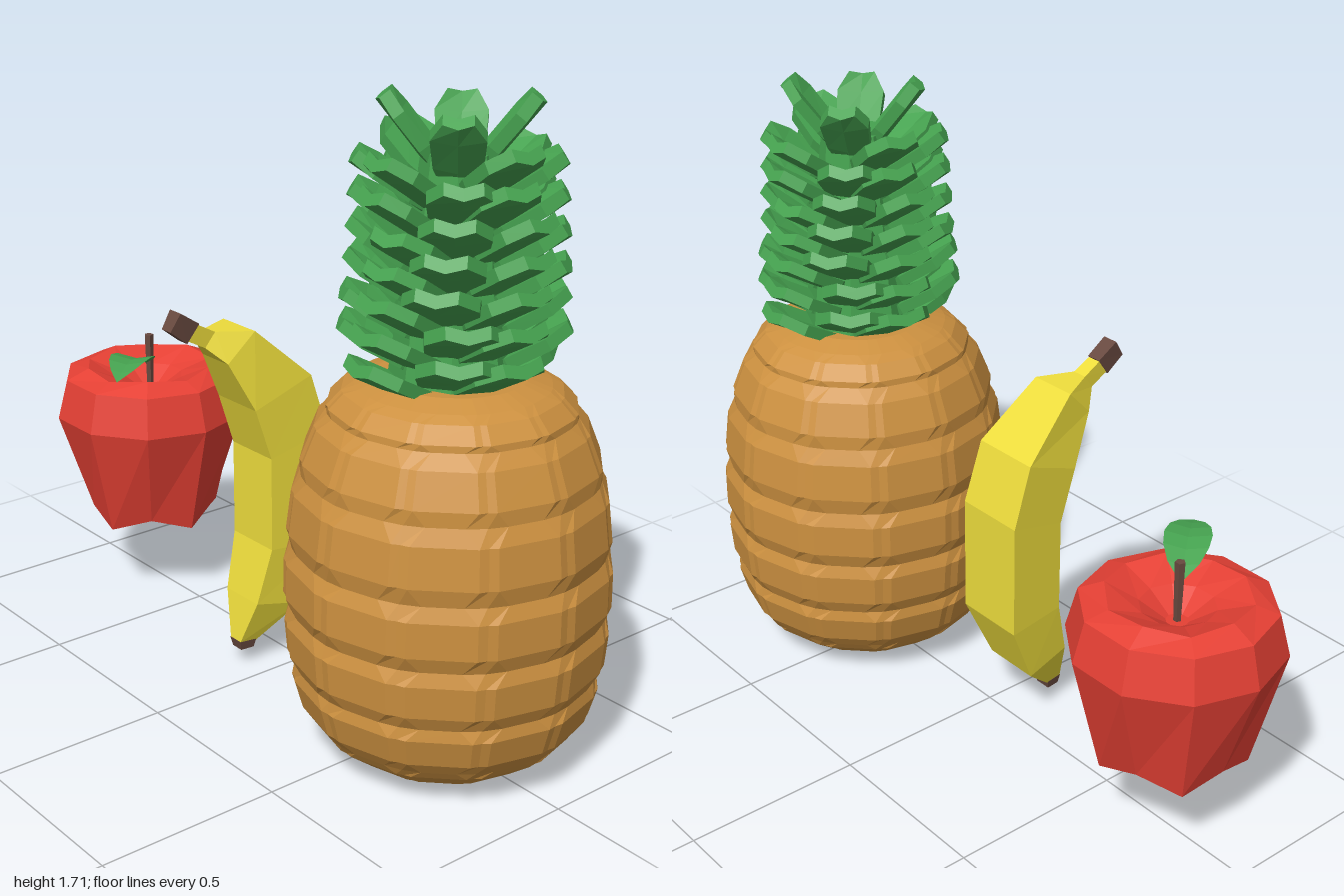
import * as THREE from 'three';

const V = (x, y, z) => new THREE.Vector3(x, y, z);
const mat = (color, extra = {}) => new THREE.MeshStandardMaterial({ color, flatShading: true, ...extra });
const GREEN = mat(0x46a350), RED = mat(0xe54034), YELLOW = mat(0xeedd3c), BROWN = mat(0x68493f), TAN = mat(0xcd9140);
const LEAF = mat(0x46a350, { side: THREE.DoubleSide });

// Skin through closed rings; points run counter-clockwise seen from the last ring
function loft(rings) {
  const pos = [];
  const tri = (...pts) => pts.forEach(p => pos.push(p.x, p.y, p.z));
  const n = rings[0].length;
  for (let i = 0; i < rings.length - 1; i++) for (let j = 0; j < n; j++) {
    const k = (j + 1) % n, a = rings[i], b = rings[i + 1];
    tri(a[j], a[k], b[k]);
    tri(a[j], b[k], b[j]);
  }
  const cap = (ring, flip) => {
    const c = ring.reduce((s, p) => s.add(p), V(0, 0, 0)).divideScalar(n);
    ring.forEach((p, j) => {
      const q = ring[(j + 1) % n];
      flip ? tri(c, q, p) : tri(c, p, q);
    });
  };
  cap(rings[0], true);
  cap(rings[rings.length - 1], false);
  const g = new THREE.BufferGeometry();
  g.setAttribute('position', new THREE.Float32BufferAttribute(pos, 3));
  g.computeVertexNormals();
  return g;
}

function add(parent, name, geometry, material) {
  const m = new THREE.Mesh(geometry, material);
  m.name = name;
  parent.add(m);
  return m;
}

// Pineapple body: rows of raised octagonal panels with grooves between them
function pineappleBody() {
  const rows = [[0, 0.21], [0.11, 0.355], [0.25, 0.395], [0.41, 0.409], [0.58, 0.407], [0.77, 0.383], [0.93, 0.318], [1.0, 0.25]];
  const cells = 12, step = Math.PI * 2 / cells;
  const ring = (y, R, u) => {
    const pts = [];
    for (let c = 0; c < cells; c++) for (const f of [0, u, 1 - u]) {
      const r = f === 0 ? R * 0.978 : R * Math.cos(step / 2) / Math.cos((f - 0.5) * step);
      const a = (c + f) * step;
      pts.push(V(Math.sin(a) * r, y, Math.cos(a) * r));
    }
    return pts;
  };
  const rings = [];
  for (let i = 0; i < rows.length - 1; i++) {
    const [y0, r0] = rows[i], [y1, r1] = rows[i + 1];
    rings.push(ring(y0, r0, 0.26));
    for (const t of [0.24, 0.78]) rings.push(ring(y0 + (y1 - y0) * t, r0 + (r1 - r0) * t + 0.014, 0.11));
  }
  rings.push(ring(1.0, 0.25, 0.26), ring(1.02, 0.19, 0.26));
  return loft(rings);
}

// Thick blunt crown leaf running along +z with a shallow centre crease
function crownLeaf(length, width) {
  const t = 0.016, d = 0.014;
  const sections = [[0, 0.3], [0.45, 0.9], [0.8, 1], [1, 0.55]];
  return loft(sections.map(([s, f]) => {
    const w = f * width / 2, z = s * length;
    return [V(-w, -t, z), V(0, -t - d, z), V(w, -t, z), V(w, t, z), V(0, t - d, z), V(-w, t, z)];
  }));
}

function pineapple() {
  const g = new THREE.Group();
  g.name = 'pineapple';
  add(g, 'pineappleBody', pineappleBody(), TAN);
  const crown = new THREE.Group();
  crown.name = 'crown';
  g.add(crown);
  add(crown, 'crownCore', new THREE.CylinderGeometry(0.09, 0.16, 0.56, 8).translate(0, 1.29, 0), GREEN);
  // four leaves per layer, each layer turned against the one below
  const layer = (tipY, tipR, tilt, width, turn) => {
    const geo = crownLeaf(tipR / Math.cos(tilt), width);
    for (let k = 0; k < 4; k++) {
      const leaf = add(crown, 'crownLeaf', geo, GREEN);
      leaf.rotation.set(-tilt, turn + k * Math.PI / 2, 0, 'YXZ');
      leaf.position.y = tipY - Math.tan(tilt) * tipR + (k % 2 ? 0.015 : -0.015);
    }
  };
  const layers = 13;
  for (let i = 0; i < layers; i++) {
    const s = i / (layers - 1);
    layer(1.1 + s * 0.49, 0.275 - s * 0.035, 0.5 + s * 0.1, 0.2 - s * 0.04, (i % 2) * Math.PI / 4 + ((i * 3) % 5 - 2) * 0.07);
  }
  layer(1.69, 0.175, 0.9, 0.13, Math.PI / 4);
  g.position.x = 0.585;
  return g;
}

// Banana: four-sided sections given by outer edge, inner edge and half width
function banana() {
  const g = new THREE.Group();
  g.name = 'banana';
  const section = ([oz, oy, iz, iy, w]) => [
    V(-w * 0.82, iy, iz), V(w * 0.82, iy, iz), V(w, oy, oz), V(-w, oy, oz)];
  const body = [
    [0.115, 0.065, 0.165, 0.07, 0.027], [0.0, 0.17, 0.14, 0.2, 0.085], [-0.08, 0.35, 0.1, 0.36, 0.105],
    [-0.08, 0.68, 0.1, 0.63, 0.105], [-0.025, 0.85, 0.15, 0.78, 0.102], [0.14, 1.0, 0.22, 0.92, 0.07],
    [0.235, 1.005, 0.265, 0.965, 0.022], [0.29, 1.035, 0.32, 0.995, 0.02]];
  const tip = [[0.12, 0.045, 0.16, 0.045, 0.024], [0.114, 0.07, 0.166, 0.072, 0.029]];
  const stem = [[0.285, 1.037, 0.322, 0.988, 0.022], [0.345, 1.077, 0.375, 1.03, 0.024]];
  add(g, 'bananaPeel', loft(body.map(section)), YELLOW);
  add(g, 'bananaTip', loft(tip.map(section)), BROWN);
  add(g, 'bananaStem', loft(stem.map(section)), BROWN);
  g.position.x = -0.095;
  return g;
}

// Apple: ten-sided, with five lobes underneath and a dip around the stem
function apple() {
  const g = new THREE.Group();
  g.name = 'apple';
  // radius, height, lobe amount
  const profile = [[0.05, 0.31, 0], [0.13, 0.25, 0.02], [0.195, 0.245, 0.018], [0.285, 0.56, 0], [0.255, 0.675, 0],
    [0.19, 0.7, 0.005], [0.1, 0.665, 0], [0.03, 0.62, 0]];
  add(g, 'appleBody', loft(profile.map(([r, y, lobe]) => Array.from({ length: 10 }, (_, j) => {
    const a = Math.PI / 2 + j * Math.PI / 5, s = j % 2 ? 1 : -1;
    return V(Math.sin(a) * (r - s * lobe * 0.4), y + s * lobe, Math.cos(a) * (r - s * lobe * 0.4));
  }))), RED);
  add(g, 'appleStem', new THREE.CylinderGeometry(0.014, 0.01, 0.17, 5).translate(0, 0.705, 0), BROWN);

  // arched pointed leaf along +z, folded at the midrib
  const leaf = new THREE.PlaneGeometry(1, 1, 2, 6);
  const p = leaf.attributes.position;
  for (let i = 0; i < p.count; i++) {
    const s = p.getY(i) + 0.5, side = p.getX(i) * 2;
    const w = 0.062 * Math.pow(Math.sin(Math.PI * Math.pow(s, 0.9)), 0.8) || 0;
    p.setXYZ(i, side * w, 0.71 + 0.03 * s + 0.04 * Math.sin(Math.PI * s) + Math.abs(side) * w * 0.2, 0.03 + s * 0.27);
  }
  leaf.computeVertexNormals();
  add(g, 'appleLeaf', leaf, LEAF).rotation.y = 0.66;
  g.position.set(-0.715, 0, 0.015);
  return g;
}

export function createModel() {
  const model = new THREE.Group();
  model.name = 'fruitSet';
  model.add(apple(), banana(), pineapple());
  return model;
}
